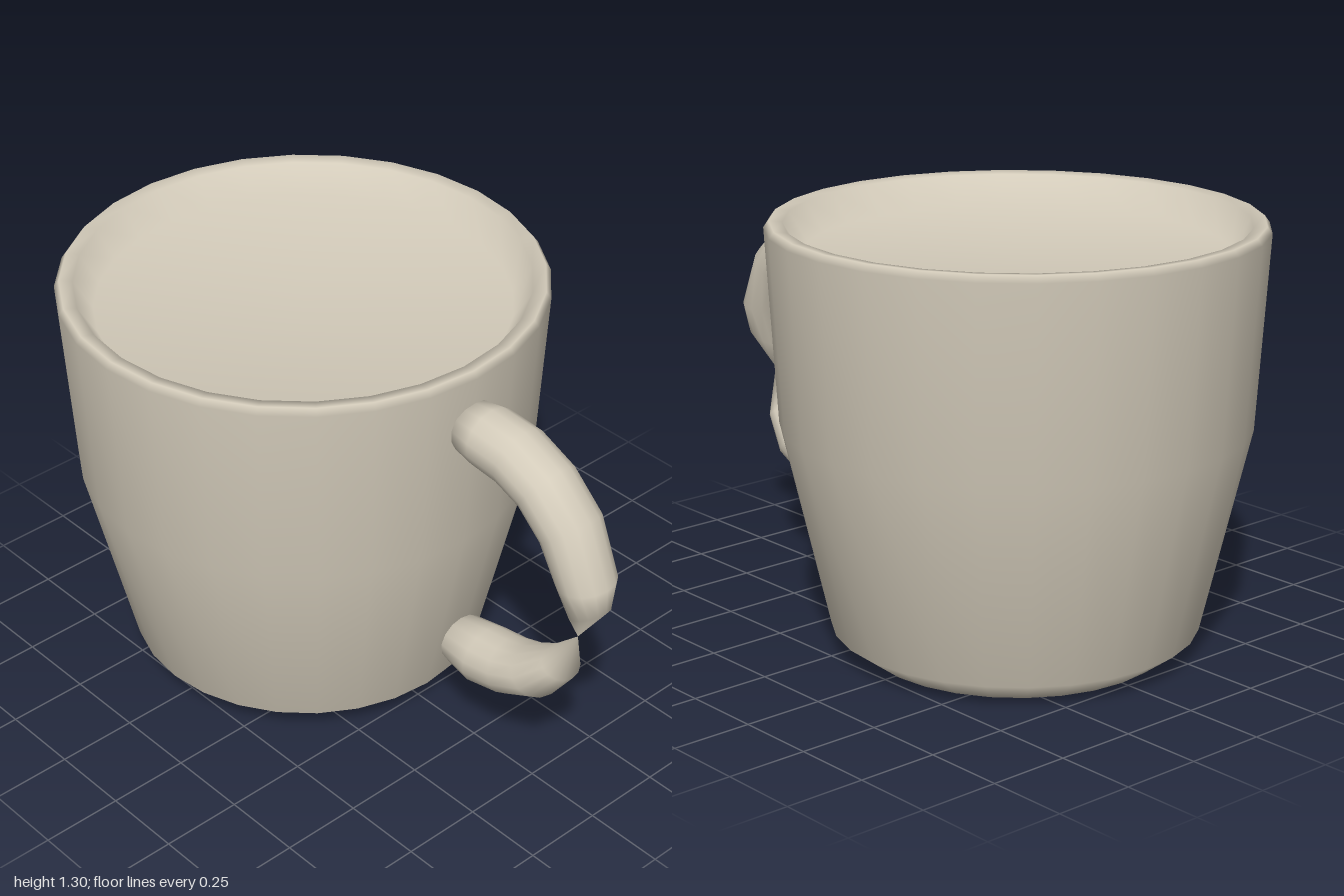
import * as THREE from 'three';
import { mergeVertices } from 'three/addons/utils/BufferGeometryUtils.js';

// Weld shared corners and give smooth, area-weighted normals
function smooth(geometry) {
  geometry.deleteAttribute('uv');
  geometry.deleteAttribute('normal');
  const welded = mergeVertices(geometry, 1e-4);
  welded.computeVertexNormals();
  return welded;
}

// Skin elliptical rings; each section is [outerX, outerY, innerX, innerY, halfWidth]
function loftHandle(sections, sides) {
  const positions = [];
  const indices = [];
  sections.forEach(([ox, oy, ix, iy, w], i) => {
    for (let j = 0; j < sides; j++) {
      const t = (j / sides) * Math.PI * 2;
      const c = Math.cos(t) / 2;
      positions.push((ox + ix) / 2 + (ox - ix) * c, (oy + iy) / 2 + (oy - iy) * c, w * Math.sin(t));
      if (i === sections.length - 1) continue;
      const a = i * sides + j;
      const b = i * sides + ((j + 1) % sides);
      indices.push(a, b, a + sides, b, b + sides, a + sides);
    }
  });
  const geometry = new THREE.BufferGeometry();
  geometry.setAttribute('position', new THREE.Float32BufferAttribute(positions, 3));
  geometry.setIndex(indices);
  return smooth(geometry);
}

export function createModel() {
  const group = new THREE.Group();
  group.name = 'mug';
  const ceramic = new THREE.MeshStandardMaterial({ color: 0xd3cbba });
  ceramic.name = 'warm ceramic';

  // Cup: base, tapered wall, rim, inner lip and the filled level inside
  const profile = [
    [0, 0], [0.46, 0], [0.555, 0.07], [0.7, 0.7], [0.735, 1.285],
    [0.72, 1.305], [0.68, 1.3], [0.625, 1.21], [0, 1.21],
  ].map(([r, y]) => new THREE.Vector2(r, y));
  const cup = new THREE.Mesh(smooth(new THREE.LatheGeometry(profile, 28)), ceramic);
  cup.name = 'cup';
  cup.position.x = -0.265;
  group.add(cup);

  // Handle: curved grip that pinches to a point, then swells into the lower end
  const sections = [
    [0.44, 1.12, 0.44, 1.12, 0],
    [0.455, 1.2, 0.455, 1.04, 0.085],
    [0.53, 1.21, 0.53, 1.03, 0.1],
    [0.66, 1.2, 0.62, 1.02, 0.1],
    [0.8, 1.14, 0.7, 0.99, 0.1],
    [0.92, 1.03, 0.78, 0.92, 0.1],
    [1.0, 0.84, 0.84, 0.82, 0.095],
    [1.0, 0.76, 0.88, 0.7, 0.06],
    [0.9, 0.62, 0.9, 0.62, 0],
    [0.89, 0.46, 0.79, 0.52, 0.065],
    [0.81, 0.35, 0.69, 0.46, 0.095],
    [0.67, 0.28, 0.62, 0.44, 0.1],
    [0.54, 0.25, 0.54, 0.43, 0.1],
    [0.44, 0.27, 0.43, 0.41, 0.085],
    [0.4, 0.34, 0.4, 0.34, 0],
  ];
  const handle = new THREE.Mesh(loftHandle(sections, 14), ceramic);
  handle.name = 'handle';
  group.add(handle);

  return group;
}
